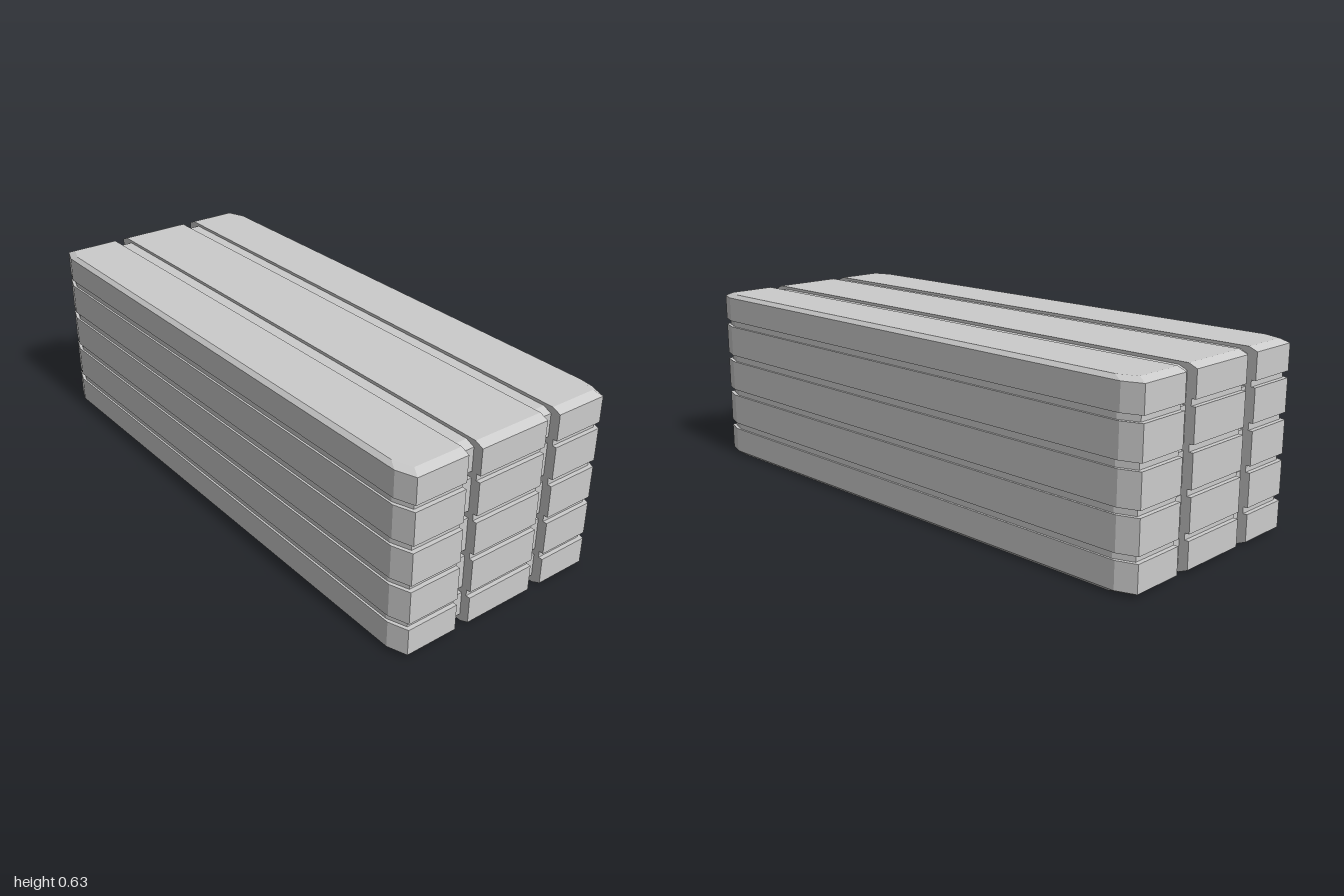
import * as THREE from 'three';

// vertical extents of the five stacked rows
const ROWS = [[0, 0.104], [0.126, 0.239], [0.261, 0.373], [0.397, 0.509], [0.531, 0.633]];
const GROOVE = [0.007, 0.015]; // x and z depth of the grooves between rows
const BEVEL = [0.014, 0.03];   // x and z inset of the top and bottom edges
const BEVEL_HEIGHT = 0.013;

// levels [y, xInset, zInset] from bottom to top
function levels(bottom, top) {
  const out = [[bottom, ...BEVEL], [bottom + BEVEL_HEIGHT, 0, 0]];
  for (let i = 0; i < ROWS.length - 1; i++) {
    const a = ROWS[i][1], b = ROWS[i + 1][0];
    out.push([a, 0, 0], [a, ...GROOVE], [b, ...GROOVE], [b, 0, 0]);
  }
  out.push([top - BEVEL_HEIGHT, 0, 0], [top, ...BEVEL]);
  return out;
}

// joins counterclockwise plan outlines into a closed solid
function loft(name, plan, bottom, top, material) {
  const rings = levels(bottom, top).map(([y, dx, dz]) =>
    plan(dx, dz).map(([x, z]) => [x, y, z]));
  const n = rings[0].length, pos = [];
  const tri = (a, b, c) => pos.push(...a, ...b, ...c);
  for (let r = 0; r < rings.length - 1; r++) {
    for (let i = 0; i < n; i++) {
      const j = (i + 1) % n, lo = rings[r], hi = rings[r + 1];
      tri(lo[i], lo[j], hi[j]);
      tri(lo[i], hi[j], hi[i]);
    }
  }
  const first = rings[0], last = rings[rings.length - 1];
  for (let i = 1; i < n - 1; i++) {
    tri(last[0], last[i], last[i + 1]);
    tri(first[0], first[i + 1], first[i]);
  }
  const geometry = new THREE.BufferGeometry();
  geometry.setAttribute('position', new THREE.Float32BufferAttribute(pos, 3));
  geometry.computeVertexNormals();
  const mesh = new THREE.Mesh(geometry, material);
  mesh.name = name;
  return mesh;
}

// straight plan between -x and x
const slab = (x, z) => (dx, dz) =>
  [[x, z - dz], [x, dz - z], [-x, dz - z], [-x, z - dz]];

// outer plan with chamfered corners, mirrored by side
const outer = (side) => (dx, dz) => {
  const pts = [
    [0.182, 1 - dz], [0.37 - dx, 1 - dz], [0.394 - dx, 0.935 - dz],
    [0.394 - dx, dz - 0.935], [0.37 - dx, dz - 1], [0.182, dz - 1],
  ].map(([x, z]) => [x * side, z]);
  return side > 0 ? pts : pts.reverse();
};

export function createModel() {
  const group = new THREE.Group();
  group.name = 'plankStack';
  const material = new THREE.MeshStandardMaterial({ color: 0xcccccc, flatShading: true });
  group.add(
    loft('middleColumn', slab(0.13, 1), 0, 0.633, material),
    loft('leftColumn', outer(1), 0, 0.633, material),
    loft('rightColumn', outer(-1), 0, 0.633, material),
    // recessed floor of the vertical grooves
    loft('grooveCore', slab(0.2, 0.966), 0.01, 0.623, material),
  );
  return group;
}
